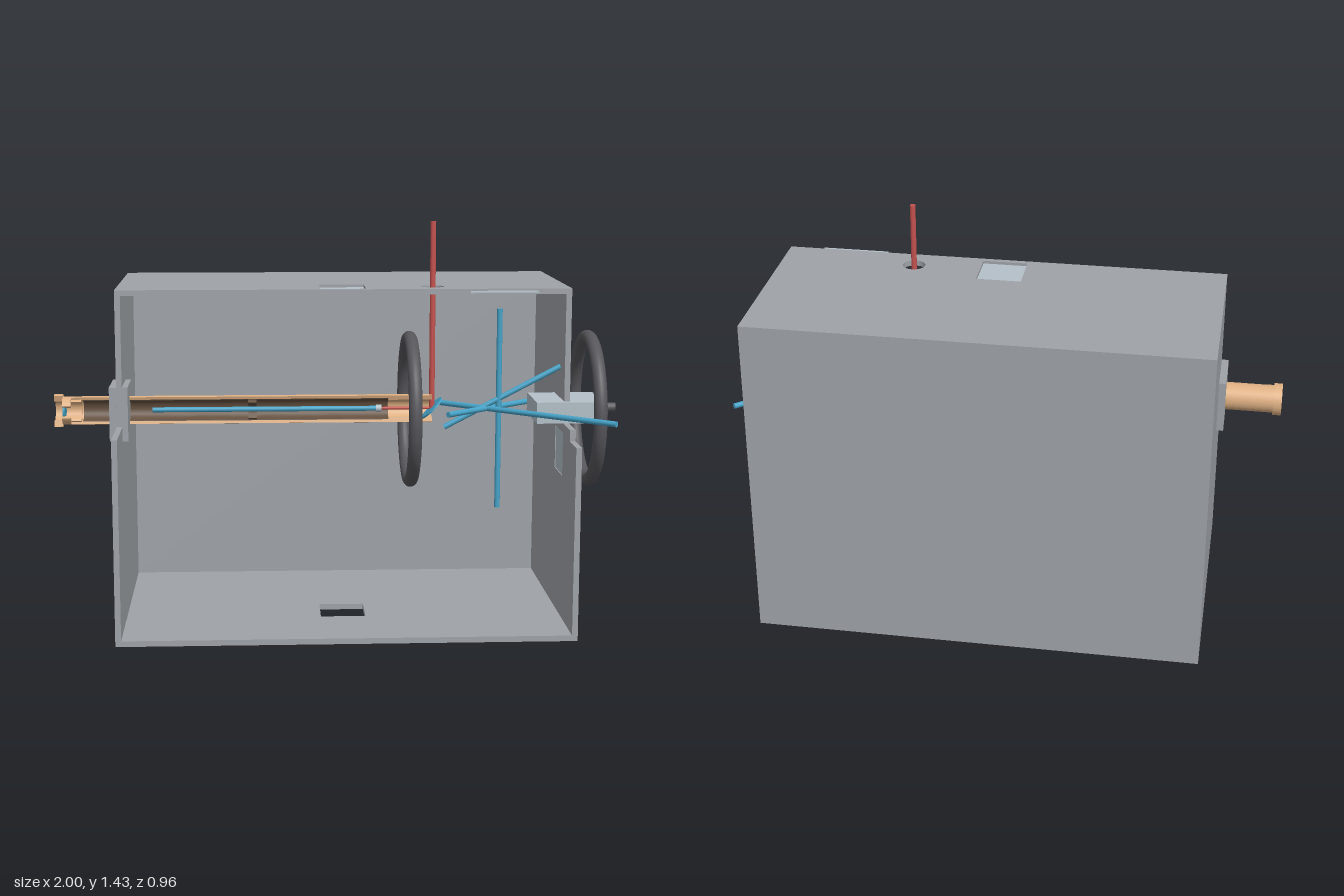
import * as THREE from 'three';

export function createModel() {
  const root = new THREE.Group();
  const mat = (name, color, side = THREE.FrontSide) => {
    const m = new THREE.MeshStandardMaterial({ color, side });
    m.name = name;
    return m;
  };
  const grey = mat('casing grey', 0x9fa3a8);
  const pale = mat('pale blue grey', 0xb4c0c8);
  const tan = mat('tan', 0xdeb083);
  const brown = mat('dark brown', 0x64503f);
  const dark = mat('charcoal', 0x57565b);
  const blue = mat('beam blue', 0x46a3c8);
  const red = mat('beam red', 0xc4524f);
  const AY = 0.765, AZ = 0.115; // optical axis

  const add = (name, geo, material, x = 0, y = 0, z = 0) => {
    const m = new THREE.Mesh(geo, material);
    m.name = name;
    m.position.set(x, y, z);
    root.add(m);
    return m;
  };
  // box given by its limits
  const box = (name, material, x0, x1, y0, y1, z0, z1) =>
    add(name, new THREE.BoxGeometry(x1 - x0, y1 - y0, z1 - z0), material,
      (x0 + x1) / 2, (y0 + y1) / 2, (z0 + z1) / 2);
  // round rod between two points
  const rod = (name, material, a, b, r) => {
    const p = new THREE.Vector3(...a), q = new THREE.Vector3(...b);
    const d = q.clone().sub(p);
    const m = add(name, new THREE.CylinderGeometry(r, r, d.length(), 16), material);
    m.position.copy(p).add(q).multiplyScalar(0.5);
    m.quaternion.setFromUnitVectors(new THREE.Vector3(0, 1, 0), d.normalize());
    return m;
  };
  const poly = (pts, Type = THREE.Shape) => new Type(pts.map(p => new THREE.Vector2(...p)));
  const rectHole = (x0, x1, y0, y1) => poly([[x0, y0], [x0, y1], [x1, y1], [x1, y0]], THREE.Path);
  const extrude = (shape, depth) =>
    new THREE.ExtrudeGeometry(shape, { depth, bevelEnabled: false, curveSegments: 32 });

  // casing: floor and top lie flat, shape coordinates are (x, -z)
  const flat = (name, y, zFront, holes) => {
    const s = poly([[-0.775, -zFront], [0.82, -zFront], [0.82, 0.48], [-0.775, 0.48]]);
    s.holes.push(...holes);
    add(name, extrude(s, 0.02).rotateX(-Math.PI / 2), grey, 0, y, 0);
  };
  const port = new THREE.Path();
  port.absarc(0.34, -AZ, 0.04, 0, Math.PI * 2, true);
  flat('floor', 0, 0.465, [rectHole(-0.06, 0.1, -0.19, -0.03)]);
  flat('top', 1.18, 0.21, [rectHole(-0.06, 0.1, -0.19, -0.03), port]);
  box('backWall', grey, -0.755, 0.8, 0.02, 1.18, -0.48, -0.46);

  // side walls, shape coordinates are (-z, y)
  const side = (name, x, front, holes) => {
    const s = poly([...front, [0.48, 0.02], [0.48, 1.18], [-0.21, 1.18], [-0.21, 0.72]]);
    s.holes.push(...holes);
    add(name, extrude(s, 0.02).rotateY(Math.PI / 2), grey, x, 0, 0);
  };
  side('rightWall', -0.775, [[-0.465, 0.72], [-0.465, 0.02]], []);
  side('leftWall', 0.8, [[-0.34, 0.72], [-0.34, 0.68], [-0.465, 0.68], [-0.465, 0.02]],
    [rectHole(-0.2, -0.04, 0.53, 0.685)]);

  // window panes and small lip
  box('topPane', pale, -0.06, 0.1, 1.183, 1.19, 0.03, 0.19);
  box('sidePane', pale, 0.803, 0.81, 0.53, 0.685, 0.04, 0.2);
  box('topLip', pale, 0.46, 0.7, 1.187, 1.193, 0.2, 0.235);

  // cut-away tube: arc shells along x, open towards the front
  const shell = (name, material, x0, x1, ro, ri, half) => {
    const s = new THREE.Shape();
    s.absarc(0, 0, ro, -half, half, false);
    s.absarc(0, 0, ri, half, -half, true);
    s.closePath();
    add(name, extrude(s, x1 - x0).rotateY(Math.PI / 2), material, x0, AY, AZ);
  };
  const cut = 1.87;
  shell('tube', tan, -0.97, 0.34, 0.05, 0.04, cut);
  shell('tubeLining', brown, -0.9, 0.185, 0.0405, 0.037, cut - 0.02);
  shell('innerSleeve', tan, 0.185, 0.34, 0.0405, 0.033, cut);
  shell('eyepieceSleeve', tan, -0.965, -0.905, 0.042, 0.032, 2.2);
  shell('eyepieceRim', tan, -1, -0.97, 0.058, 0.036, cut);
  shell('eyepieceRing', tan, -0.97, -0.94, 0.05, 0.034, 2.7);
  shell('tubeStop', brown, -0.315, -0.285, 0.038, 0.014, 2.3);

  // lens, mirror and small inner lens
  add('eyeLens', new THREE.CylinderGeometry(0.036, 0.036, 0.008, 32).rotateZ(Math.PI / 2),
    blue, -0.965, AY, AZ);
  add('mirror', new THREE.CylinderGeometry(0.05, 0.05, 0.006, 32).rotateZ(Math.PI / 4),
    blue, 0.34, AY, AZ);
  add('smallLens', new THREE.CylinderGeometry(0.013, 0.013, 0.02, 24).rotateZ(Math.PI / 2),
    pale, 0.15, AY, AZ);

  // tube mounting plates either side of the wall
  box('outerMountPlate', grey, -0.8, -0.775, 0.67, 0.86, 0.02, 0.212);
  box('innerMountPlate', grey, -0.755, -0.735, 0.67, 0.86, 0.02, 0.212);
  box('mountCore', grey, -0.776, -0.754, 0.67, 0.86, 0.022, 0.21);

  // hand wheels
  for (const [name, x] of [['innerWheel', 0.26], ['outerWheel', 0.9]]) {
    add(name, new THREE.TorusGeometry(0.255, 0.0235, 20, 72).rotateY(Math.PI / 2), dark, x, 0.762, AZ);
  }

  // bracket and shaft
  box('bracket', pale, 0.7, 0.94, 0.725, 0.8, 0, 0.235);
  rod('shaft', dark, [0.93, 0.763, AZ], [1, 0.763, AZ], 0.017);

  // light beams
  rod('redBeam', red, [0.34, AY, AZ], [0.34, 1.43, AZ], 0.01);
  rod('redAxisBeam', red, [0.05, AY, AZ], [0.34, AY, AZ], 0.005);
  rod('blueAxisBeam', blue, [-0.655, AY, AZ], [0.14, AY, AZ], 0.009);
  rod('verticalBeam', blue, [0.58, 0.4, AZ], [0.58, 1.12, AZ], 0.01);
  rod('tiltedBeam', blue, [0.385, 0.695, AZ], [0.8, 0.912, AZ], 0.01);
  rod('rearDiagonalBeam', blue, [0.385, 0.762, 0.25], [0.935, 0.762, -0.24], 0.01);
  rod('frontDiagonalBeam', blue, [0.385, 0.762, -0.02], [0.935, 0.762, 0.47], 0.01);

  return root;
}
